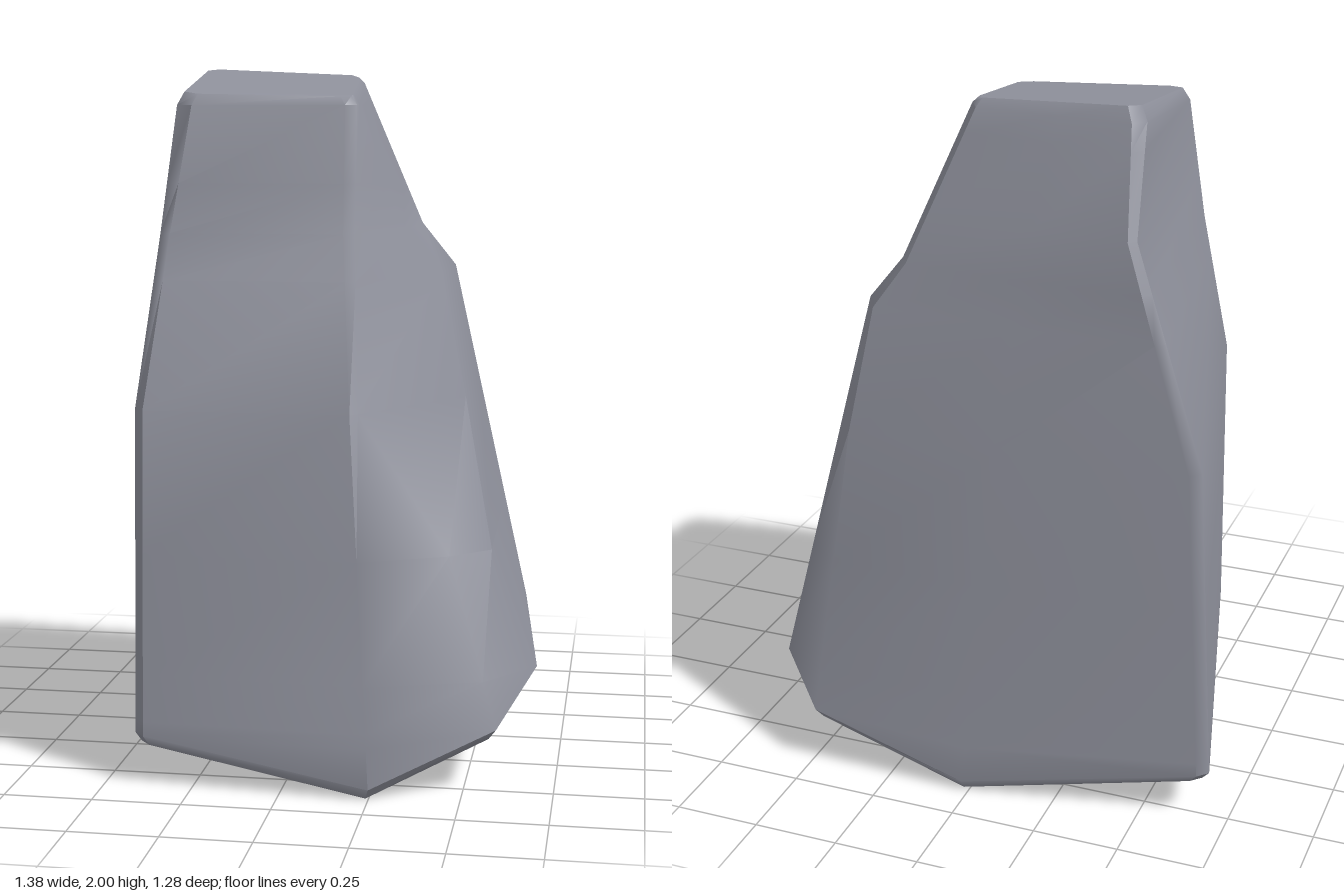
import * as THREE from 'three';

// Vertical ridges of the boulder, each a short list of [y, x, z] from foot to top,
// listed counter-clockwise as seen from above.
const ridges = {
  frontLeftOuter: [[0.14, -0.42, 0.57], [1.05, -0.43, 0.49], [1.53, -0.4, 0.29], [1.89, -0.36, 0.24]],
  frontLeftInner: [[0.14, -0.39, 0.605], [1.05, -0.4, 0.525], [1.53, -0.365, 0.32], [1.89, -0.31, 0.275]],
  frontRight: [[0.03, 0.25, 0.64], [1.05, 0.18, 0.525], [1.53, 0.13, 0.31], [1.89, 0.12, 0.21]],
  cornerFront: [[0.18, 0.59, 0.52], [0.65, 0.45, 0.45], [1.05, 0.2, 0.5], [1.53, 0.16, 0.29], [1.89, 0.15, 0.18]],
  cornerSide: [[0.31, 0.69, 0.31], [0.65, 0.56, 0.34], [1.05, 0.46, 0.09], [1.4, 0.38, 0], [1.53, 0.28, 0.11], [1.89, 0.155, 0.16]],
  backRightSide: [[0.31, 0.61, -0.55], [1.4, 0.385, -0.37], [1.53, 0.28, -0.37], [1.96, 0.11, -0.26]],
  backRightBack: [[0.18, 0.48, -0.645], [1.05, 0.39, -0.53], [1.4, 0.34, -0.45], [1.53, 0.25, -0.42], [1.96, 0.08, -0.31]],
  back: [[0.03, 0.02, -0.635], [1.05, -0.05, -0.53], [1.67, -0.12, -0.42], [1.96, -0.16, -0.32]],
  backLeftBack: [[0.14, -0.66, -0.53], [1.05, -0.6, -0.49], [1.67, -0.4, -0.44], [1.96, -0.37, -0.33]],
  backLeftSide: [[0.14, -0.69, -0.5], [1.05, -0.63, -0.46], [1.67, -0.42, -0.42], [1.96, -0.4, -0.29]],
};

// Point of a ridge at height y, clamped to its own foot and top
function sample(ridge, y) {
  const first = ridge[0], last = ridge[ridge.length - 1];
  const h = THREE.MathUtils.clamp(y, first[0], last[0]);
  const i = Math.max(1, ridge.findIndex((p) => p[0] >= h));
  const [y0, x0, z0] = ridge[i - 1], [y1, x1, z1] = ridge[i];
  const t = (h - y0) / (y1 - y0);
  return new THREE.Vector3(x0 + (x1 - x0) * t, h, z0 + (z1 - z0) * t);
}

// Area-weighted normals: broad faces stay flat, narrow bevels blend, sharp edges stay sharp
function weightedNormals(triangles, creaseAngle) {
  const key = (p) => p.toArray().map((v) => Math.round(v * 1e4)).join();
  const limit = Math.cos(creaseAngle);
  const around = new Map();
  const faces = triangles.map(([a, b, c]) => {
    const cross = b.clone().sub(a).cross(c.clone().sub(a));
    const face = { cross, unit: cross.clone().normalize() };
    for (const p of [a, b, c]) {
      if (!around.has(key(p))) around.set(key(p), []);
      around.get(key(p)).push(face);
    }
    return face;
  });
  return triangles.flatMap((corners, i) => corners.flatMap((p) => {
    const normal = new THREE.Vector3();
    for (const f of around.get(key(p))) {
      if (f.unit.dot(faces[i].unit) > limit) normal.add(f.cross);
    }
    return normal.normalize().toArray();
  }));
}

function boulderGeometry() {
  const columns = Object.values(ridges);
  const n = columns.length;
  const levels = [...new Set(columns.flat().map((p) => p[0]))].sort((a, b) => a - b);
  const rings = levels.map((y) => columns.map((c) => sample(c, y)));

  // Narrow bevel under the foot
  rings.unshift(rings[0].map((p) => new THREE.Vector3(p.x * 0.965, p.y - 0.03, p.z * 0.97)));

  // Narrow bevel up to the tilted flat top
  const centre = new THREE.Vector3(-0.11, 0, -0.04);
  rings.push(rings[rings.length - 1].map((p) => {
    const q = p.clone().lerp(centre, 0.07);
    q.y = 1.945 - 0.14 * q.z - 0.04 * q.x;
    return q;
  }));

  const triangles = [];
  const triangle = (a, b, c) => {
    const area = b.clone().sub(a).cross(c.clone().sub(a)).length();
    if (area > 1e-7) triangles.push([a, b, c]);
  };
  const fan = (points) => {
    for (let i = 1; i < points.length - 1; i++) triangle(points[0], points[i], points[i + 1]);
  };

  // Sides
  for (let r = 0; r < rings.length - 1; r++) {
    for (let j = 0; j < n; j++) {
      const k = (j + 1) % n;
      fan([rings[r][j], rings[r][k], rings[r + 1][k], rings[r + 1][j]]);
    }
  }
  // Top
  fan(rings[rings.length - 1]);
  // Underside: sloping left facet, sloping right facet and the bevel beside it
  for (const facet of [[0, 1, 2, 7, 8, 9], [2, 3, 6, 7], [3, 4, 5, 6]]) {
    fan(facet.map((j) => rings[0][j]).reverse());
  }

  const positions = triangles.flat().flatMap((p) => p.toArray());
  const geometry = new THREE.BufferGeometry();
  geometry.setAttribute('position', new THREE.Float32BufferAttribute(positions, 3));
  geometry.setAttribute('normal', new THREE.Float32BufferAttribute(weightedNormals(triangles, 0.75), 3));
  return geometry;
}

export function createModel() {
  const group = new THREE.Group();
  group.name = 'rock';
  const boulder = new THREE.Mesh(boulderGeometry(), new THREE.MeshStandardMaterial({ color: 0x8f919c }));
  boulder.name = 'boulder';
  group.add(boulder);
  return group;
}
